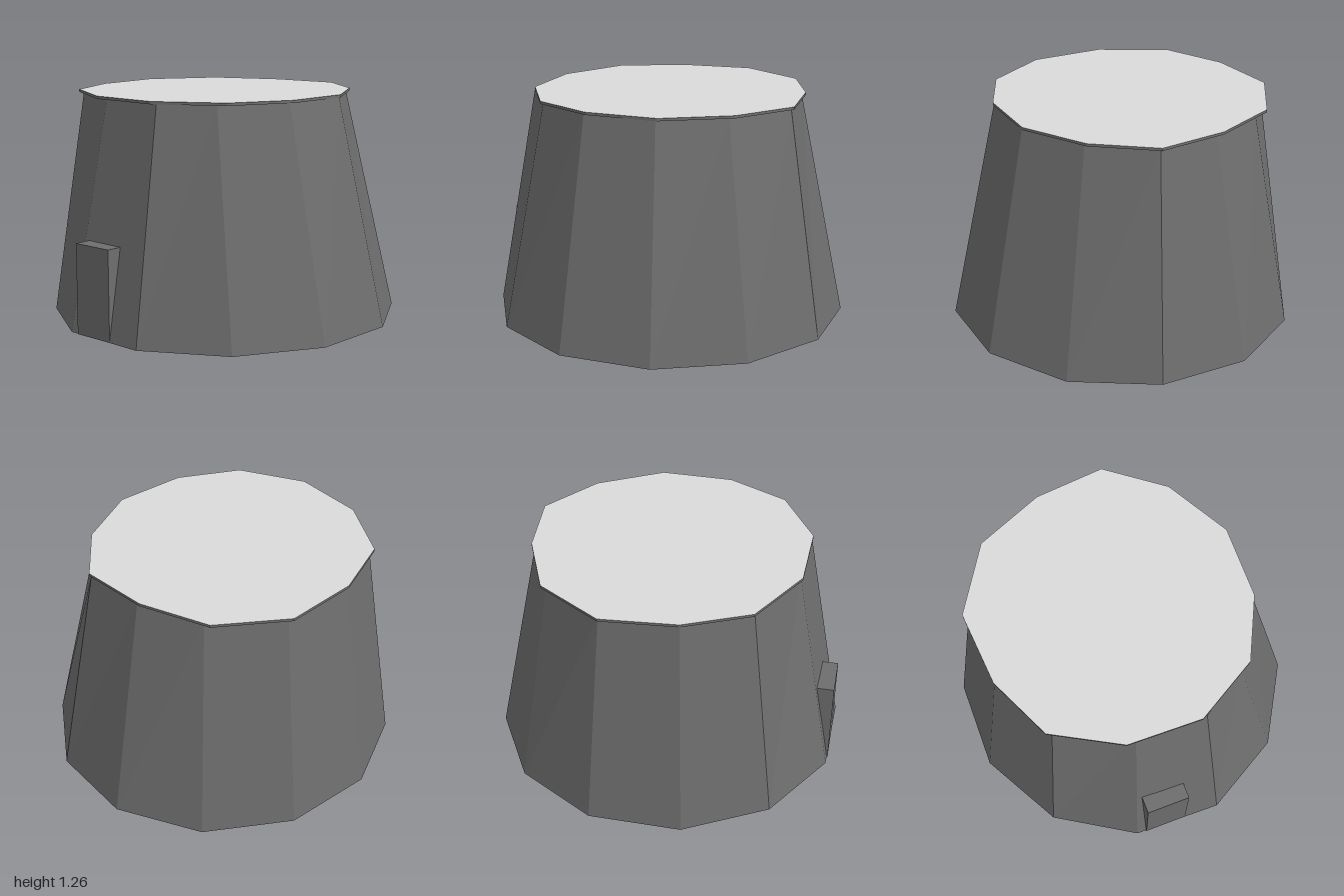
import * as THREE from 'three';

const darkGrey = new THREE.MeshStandardMaterial({ color: 0x6e6e6e });
const lightGrey = new THREE.MeshStandardMaterial({ color: 0xdadada });
darkGrey.name = 'darkGrey';
lightGrey.name = 'lightGrey';

// Closed faceted solid between two [x, z] rings, listed from front towards +x.
// Material group 0 is the sides and underside, group 1 is the top face.
function prism(lower, upper, y0, y1) {
  const n = lower.length;
  const low = lower.map(([x, z]) => [x, y0, z]);
  const high = upper.map(([x, z]) => [x, y1, z]);
  const walls = [], top = [];
  for (let i = 0; i < n; i++) {
    const j = (i + 1) % n;
    walls.push(low[i], low[j], high[j], low[i], high[j], high[i]);
    walls.push([0, y0, 0], low[j], low[i]);
    top.push([0, y1, 0], high[i], high[j]);
  }
  const geometry = new THREE.BufferGeometry();
  geometry.setAttribute('position', new THREE.Float32BufferAttribute([...walls, ...top].flat(), 3));
  geometry.addGroup(0, walls.length, 0);
  geometry.addGroup(walls.length, top.length, 1);
  geometry.computeVertexNormals();
  return geometry;
}

function addPart(group, name, geometry, material) {
  const mesh = new THREE.Mesh(geometry, material);
  mesh.name = name;
  group.add(mesh);
  return mesh;
}

export function createModel() {
  const model = new THREE.Group();
  model.name = 'taperedTower';

  // Regular twelve-sided foot, slightly narrower in x
  const foot = Array.from({ length: 12 }, (_, i) => {
    const a = (i * Math.PI) / 6;
    return [0.975 * Math.sin(a), Math.cos(a)];
  });

  // Uneven rim where the walls end
  const rim = [
    [0, 0.77], [0.295, 0.66], [0.58, 0.39], [0.695, 0], [0.585, -0.37], [0.352, -0.685],
    [0, -0.74], [-0.37, -0.67], [-0.7, -0.405], [-0.8, 0], [-0.7, 0.385], [-0.37, 0.66],
  ];
  addPart(model, 'towerBody', prism(foot, rim, 0, 1.25), [darkGrey, darkGrey]);

  // Thin roof slab with a pale top, overhanging a little
  const roof = [
    [-0.03, 0.775], [0.355, 0.665], [0.595, 0.38], [0.7, -0.01], [0.595, -0.4], [0.355, -0.7],
    [-0.03, -0.76], [-0.43, -0.7], [-0.735, -0.41], [-0.805, 0], [-0.735, 0.38], [-0.43, 0.665],
  ];
  addPart(model, 'roofSlab', prism(roof, roof, 1.25, 1.265), [darkGrey, lightGrey]);

  // Upright door block set into the sloping wall
  const door = addPart(model, 'doorBlock', new THREE.BoxGeometry(0.247, 0.5, 0.3), darkGrey);
  door.position.set(-0.279, 0.25, 0.77);
  door.rotation.y = -0.245;

  return model;
}
